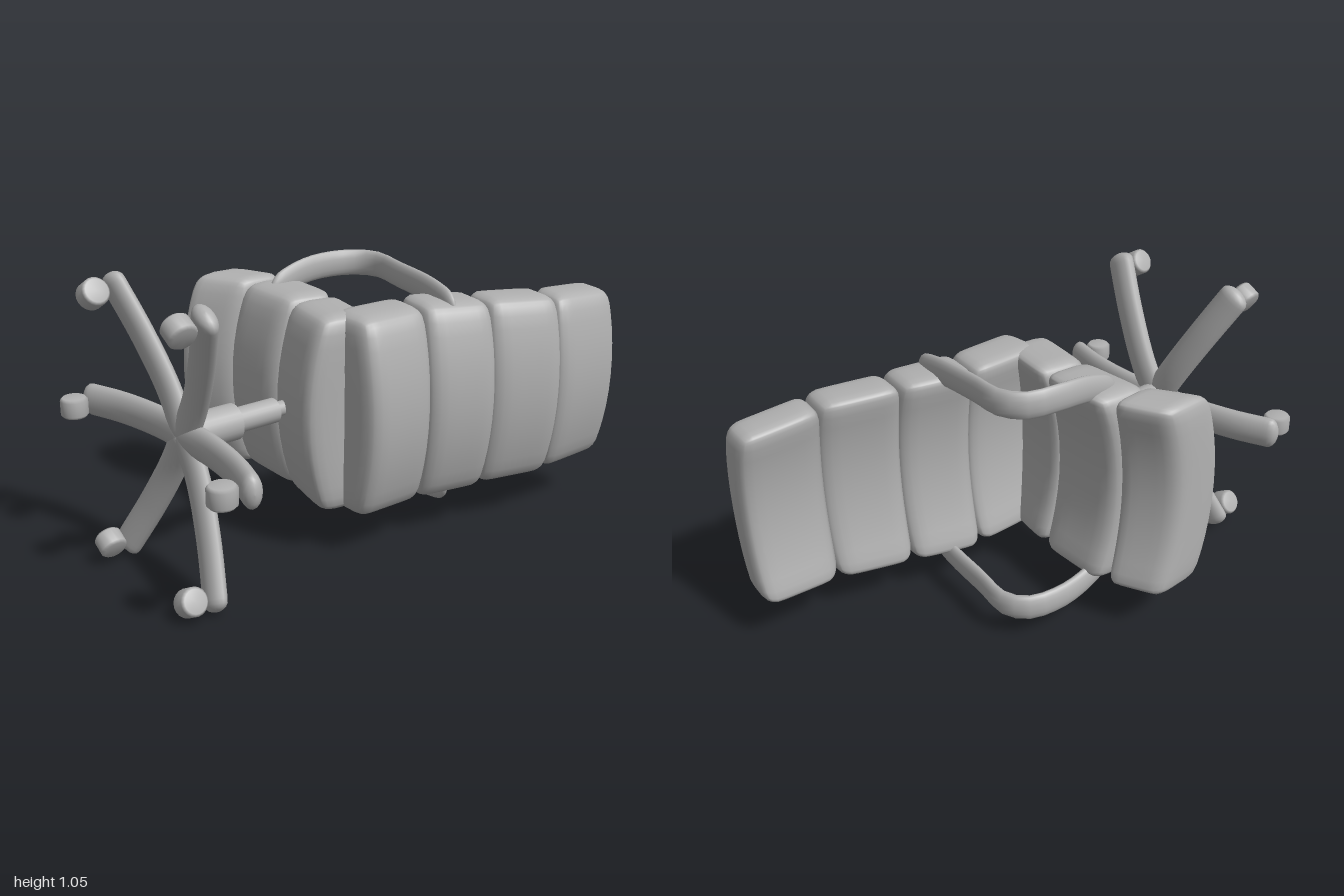
import * as THREE from 'three';
import { mergeVertices } from 'three/addons/utils/BufferGeometryUtils.js';

const grey = new THREE.MeshStandardMaterial({ color: 0xb0b0b0 });
grey.name = 'plain grey';

function add(parent, name, geometry) {
  const mesh = new THREE.Mesh(geometry, grey);
  mesh.name = name;
  parent.add(mesh);
  return mesh;
}

// Padded block: a rounded box fitted to four [x, z] corners
// (inner start, inner end, outer end, outer start), crowned along its length
// and bowed across its width.
function cushion([a, b, c, d], halfWidth, taper = 0) {
  const half = [0.15, halfWidth, 0.1], r = 0.055;
  const g = new THREE.BoxGeometry(2, 2, 2, 12, 16, 8);
  g.deleteAttribute('normal');
  g.deleteAttribute('uv');
  const geo = mergeVertices(g);
  const pos = geo.attributes.position, v = new THREE.Vector3(), core = new THREE.Vector3();
  for (let i = 0; i < pos.count; i++) {
    v.fromBufferAttribute(pos, i);
    v.set(...v.toArray().map((s, k) => half[k] * Math.sin(s * Math.PI / 2)));
    core.set(...v.toArray().map((s, k) => THREE.MathUtils.clamp(s, r - half[k], half[k] - r)));
    v.sub(core).normalize().multiplyScalar(r).add(core);
    const w = v.y / half[1];
    const along = v.x / half[0] * (1 - 0.06 * w ** 4);
    const u = (along + 1) / 2;
    const bowed = 0.74 * (v.z / half[2] + 1) / 2 + 0.26 * (1 - w * w);
    const t = 0.5 + (bowed - 0.5) * (1.04 - 0.1 * along ** 4);
    const at = k => (1 - t) * ((1 - u) * a[k] + u * b[k]) + t * ((1 - u) * d[k] + u * c[k]);
    pos.setXYZ(i, at(0), w * (halfWidth - taper * u), at(1));
  }
  geo.computeVertexNormals();
  return geo;
}

// Flattened bar with rounded ends swept along a curve
function bar(points, widthAxis, halfWidth, halfThick, endRound) {
  const curve = new THREE.CatmullRomCurve3(points.map(p => new THREE.Vector3(...p)));
  const length = curve.getLength(), n = 30, m = 16, verts = [], index = [];
  for (let i = 0; i <= n; i++) {
    const u = 0.5 - 0.5 * Math.cos(Math.PI * i / n);
    const p = curve.getPointAt(u), tan = curve.getTangentAt(u);
    const normal = new THREE.Vector3().crossVectors(tan, widthAxis).normalize();
    const k = Math.min(1, Math.min(u, 1 - u) * length / endRound);
    const s = Math.max(0.005, Math.sqrt(1 - (1 - k) ** 2));
    for (let j = 0; j < m; j++) {
      const q = j / m * Math.PI * 2;
      verts.push(...p.clone()
        .addScaledVector(widthAxis, Math.cos(q) * halfWidth * s)
        .addScaledVector(normal, Math.sin(q) * halfThick * s).toArray());
      if (i < n) {
        const A = i * m + j, B = i * m + (j + 1) % m;
        index.push(A, B, A + m, B, B + m, A + m);
      }
    }
  }
  const geo = new THREE.BufferGeometry();
  geo.setAttribute('position', new THREE.Float32BufferAttribute(verts, 3));
  geo.setIndex(index);
  geo.computeVertexNormals();
  return geo;
}

export function createModel() {
  const model = new THREE.Group();
  model.name = 'officeChair';
  // The chair lies on its side: its top points to +x and its front to -z
  const chair = new THREE.Group();
  chair.name = 'chair';
  chair.position.y = 0.53;
  chair.rotation.x = 0.03;
  model.add(chair);

  // Backrest, bottom to top
  const back = new THREE.Group();
  back.name = 'backrest';
  chair.add(back);
  [
    [[[-0.19, 0.06], [0.15, 0.0], [0.15, 0.275], [-0.13, 0.325]], 0.37, 0],
    [[[0.13, -0.01], [0.415, 0.03], [0.415, 0.295], [0.13, 0.275]], 0.375, 0.01],
    [[[0.395, 0.03], [0.7, 0.07], [0.7, 0.31], [0.4, 0.275]], 0.365, 0.01],
    [[[0.68, 0.065], [0.99, 0.025], [1.0, 0.255], [0.68, 0.3]], 0.35, 0.015],
  ].forEach(([quad, w, taper], i) => add(back, 'backCushion' + (i + 1), cushion(quad, w, taper)));

  // Seat, rear to front
  const seat = new THREE.Group();
  seat.name = 'seat';
  chair.add(seat);
  [
    [[[-0.035, -0.13], [-0.045, 0.17], [-0.31, 0.18], [-0.3, -0.12]], 0.365],
    [[[-0.07, -0.44], [-0.03, -0.11], [-0.3, -0.1], [-0.36, -0.41]], 0.37],
    [[[-0.21, -0.625], [-0.09, -0.43], [-0.34, -0.38], [-0.5, -0.57]], 0.375],
  ].forEach(([quad, w], i) => add(seat, 'seatCushion' + (i + 1), cushion(quad, w)));

  // Armrests, looping from the backrest to the seat sides
  const across = new THREE.Vector3(0, 1, 0);
  const armPath = [[0.26, 0.35, 0.2], [0.255, 0.38, 0.05], [0.24, 0.395, -0.15], [0.23, 0.403, -0.3],
    [0.17, 0.403, -0.365], [0.05, 0.403, -0.375], [-0.07, 0.39, -0.355], [-0.21, 0.345, -0.32]];
  for (const side of [1, -1]) {
    const path = armPath.map(([x, y, z]) => [x, y * side, z]);
    add(chair, side > 0 ? 'upperArmrest' : 'lowerArmrest', bar(path, across, 0.05, 0.022, 0.06));
  }

  // Base, built upright on its own axis and then tipped over
  const base = new THREE.Group();
  base.name = 'base';
  base.position.set(-0.71, 0, 0.065);
  const tilt = 0.2;
  base.quaternion.setFromRotationMatrix(new THREE.Matrix4().makeBasis(
    new THREE.Vector3(0, -1, 0),
    new THREE.Vector3(Math.cos(tilt), 0, -Math.sin(tilt)),
    new THREE.Vector3(Math.sin(tilt), 0, Math.cos(tilt))));
  chair.add(base);

  // Gas-lift column in three steps
  [['columnSleeve', 0.065, -0.02, 0.2], ['columnRod', 0.045, 0.19, 0.37], ['columnPin', 0.027, 0.36, 0.45]]
    .forEach(([name, r, y0, y1]) => {
      add(base, name, new THREE.CylinderGeometry(r, r, y1 - y0, 24)).position.y = (y0 + y1) / 2;
    });

  // Six drooping legs with wheels; the front and rear ones are shorter
  const legOf = reach => bar(
    [[0, 0, -0.02], [0, 0, 0.15], [0, -0.03, 0.35], [0, -0.085, reach]],
    new THREE.Vector3(1, 0, 0), 0.06, 0.034, 0.035);
  const shortLeg = legOf(0.525), longLeg = legOf(0.585);
  const wheelGeo = new THREE.LatheGeometry(
    [[0, -0.036], [0.04, -0.036], [0.049, -0.026], [0.049, 0.026], [0.04, 0.036], [0, 0.036]]
      .map(p => new THREE.Vector2(...p)), 20);
  for (let i = 0; i < 6; i++) {
    const short = i % 3 === 0;
    const spoke = new THREE.Group();
    spoke.name = 'spoke' + (i + 1);
    spoke.rotation.y = i * Math.PI / 3;
    base.add(spoke);
    add(spoke, 'leg', short ? shortLeg : longLeg);
    const wheel = add(spoke, 'wheel', wheelGeo);
    wheel.position.set(0, -0.16, short ? 0.465 : 0.525);
    wheel.rotation.z = Math.PI / 2;
  }

  // Rest on the ground, centred
  const box = new THREE.Box3().setFromObject(model, true);
  const centre = box.getCenter(new THREE.Vector3());
  chair.position.x -= centre.x;
  chair.position.z -= centre.z;
  chair.position.y -= box.min.y;
  return model;
}
